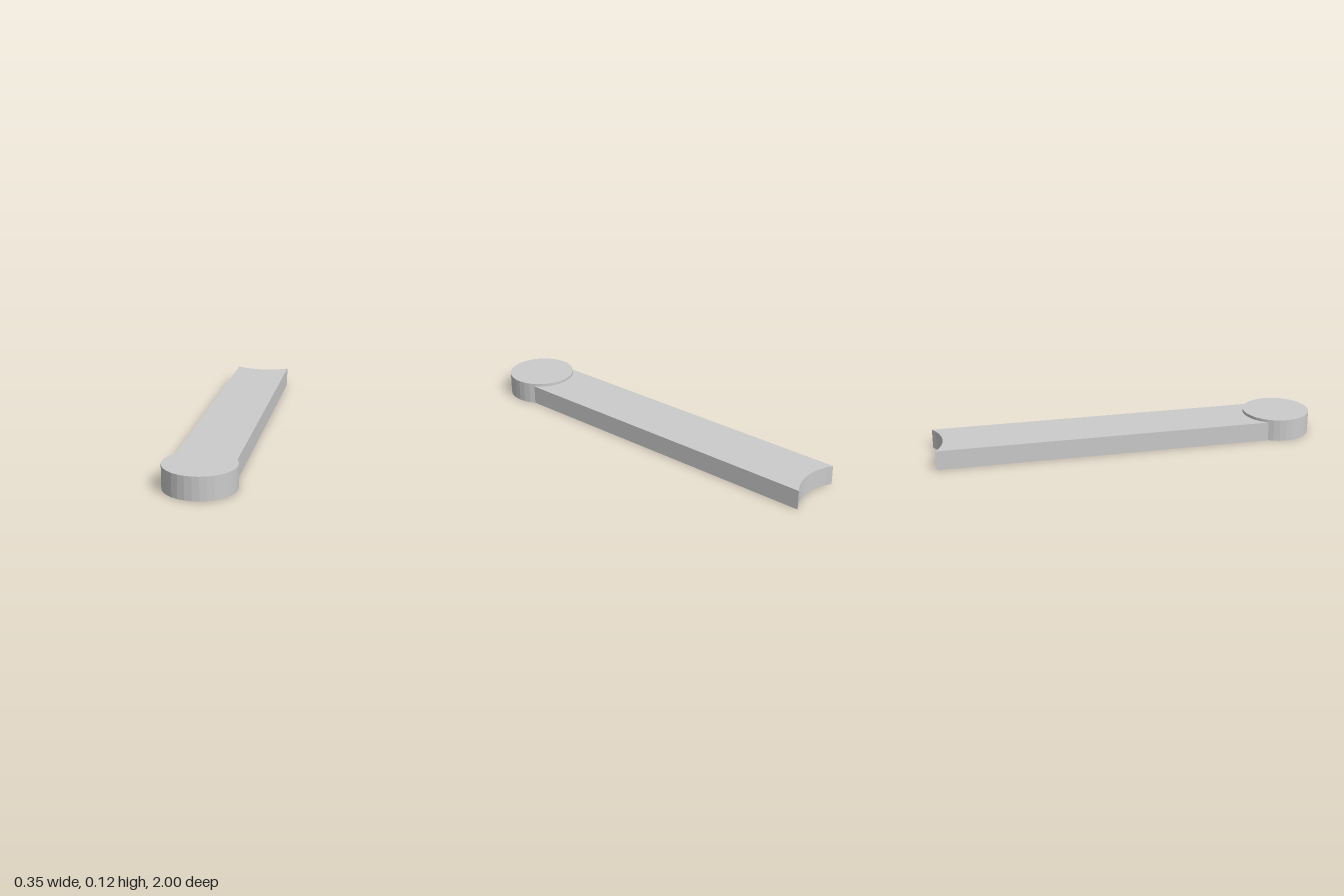
import * as THREE from 'three';

const PIVOT_Z = 0.824, PIVOT_R = 0.176, HALF_W = 0.15;

// Points of an arc spanning x = -HALF_W..HALF_W, centred on x = 0
function arcPoints(centreY, radius, side, segments) {
  const half = Math.asin(HALF_W / radius);
  return Array.from({ length: segments + 1 }, (_, i) => {
    const a = -half + (2 * half * i) / segments;
    return new THREE.Vector2(radius * Math.sin(a), centreY + side * radius * Math.cos(a));
  });
}

export function createModel() {
  const group = new THREE.Group();
  group.name = 'linkArm';
  const material = new THREE.MeshStandardMaterial({ color: 0xcccccc, flatShading: true });

  // Flat bar: one end fits around the pivot disc, the other is scooped (shape y = -z)
  const nearEnd = arcPoints(-PIVOT_Z, PIVOT_R, 1, 12);
  const farEnd = arcPoints(1.227, 0.272, -1, 8).reverse();
  const barGeometry = new THREE.ExtrudeGeometry(new THREE.Shape([...nearEnd, ...farEnd]), {
    depth: 0.1, bevelEnabled: false,
  });
  barGeometry.rotateX(-Math.PI / 2);
  const bar = new THREE.Mesh(barGeometry, material);
  bar.name = 'bar';
  group.add(bar);

  // Round pivot disc, slightly taller than the bar
  const disc = new THREE.Mesh(new THREE.CylinderGeometry(PIVOT_R, PIVOT_R, 0.115, 32), material);
  disc.name = 'pivotDisc';
  disc.position.set(0, 0.0575, PIVOT_Z);
  group.add(disc);

  return group;
}
